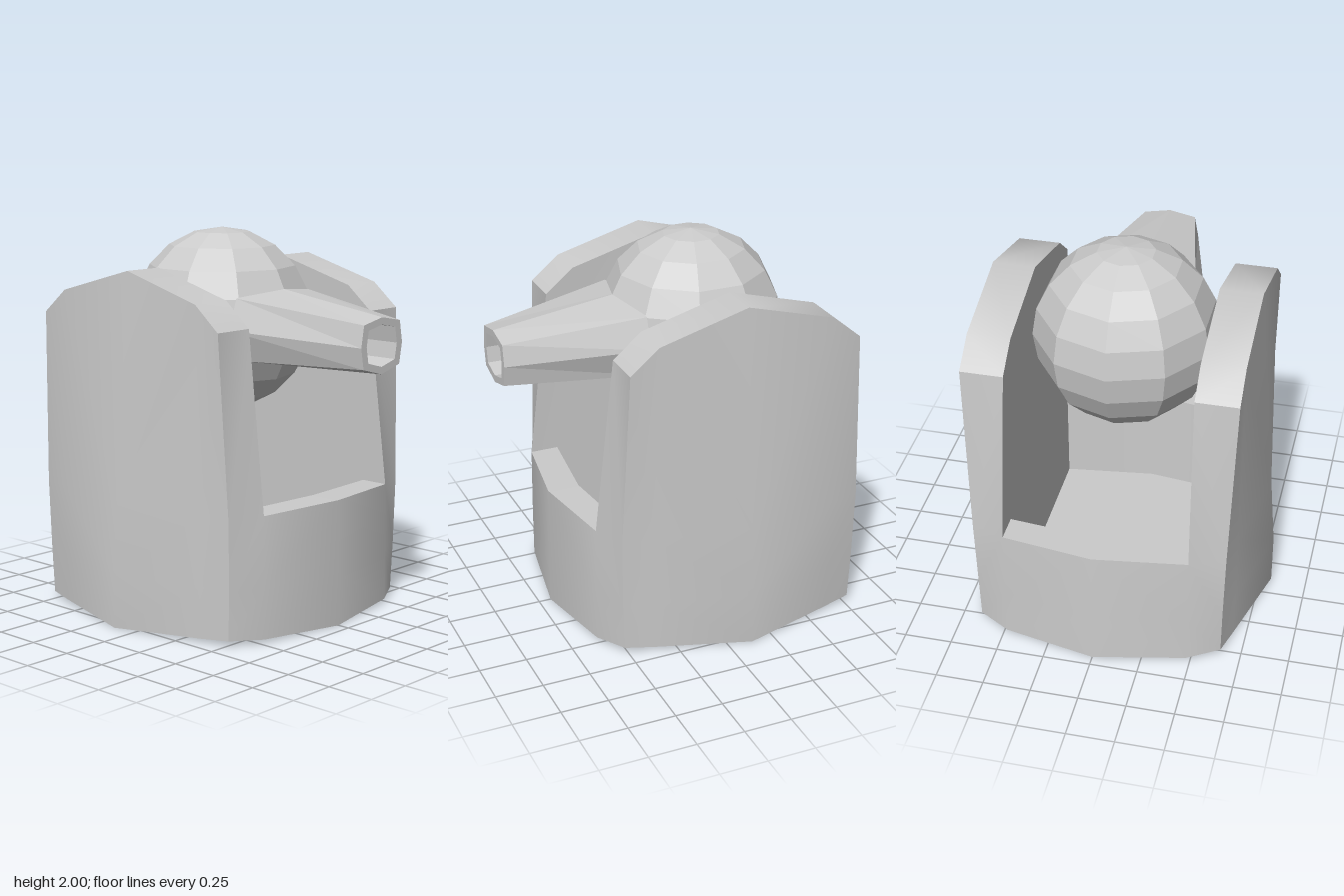
import * as THREE from 'three';
import { toCreasedNormals } from 'three/addons/utils/BufferGeometryUtils.js';

const CENTER_X = -0.13, BALL_Y = 1.517;

// Joins two polylines with quads; a runs left to right seen from outside, b lies above it
function strip(out, a, b) {
  for (let i = 0; i < a.length - 1; i++) {
    out.push([a[i], a[i + 1], b[i + 1]], [a[i], b[i + 1], b[i]]);
  }
}

// Fan around a centre point, counter-clockwise seen from outside
function fan(out, c, loop) {
  for (let i = 0; i < loop.length - 1; i++) out.push([c, loop[i], loop[i + 1]]);
}

function toGeometry(triangles) {
  const g = new THREE.BufferGeometry();
  g.setAttribute('position', new THREE.Float32BufferAttribute(triangles.flat(2), 3));
  g.computeVertexNormals();
  return g;
}

// Base with two upright arms: one quarter, mirrored in x and z
function mountGeometry() {
  const q = [];
  // Rows of the outer shell: front middle, shoulder, corner, bevel edge, side middle
  const foot = [[0, 0, 0.81], [0.49, 0.02, 0.685], [0.645, 0.03, 0.645], [0.735, 0.02, 0.48], [0.815, 0, 0]];
  const low = [[0, 0.28, 0.81], [0.49, 0.28, 0.69], [0.655, 0.28, 0.65], [0.735, 0.28, 0.48], [0.815, 0.28, 0]];
  const rim = [[0, 0.65, 0.78], [0.5, 0.65, 0.69], [0.66, 0.65, 0.66], [0.73, 0.65, 0.48], [0.808, 0.66, 0]];
  const crown = [[0, 1.82, 0.69], [0.47, 1.69, 0.69], [0.62, 1.565, 0.69]];
  const crownIn = crown.map(([x, y]) => [x, y, 0.47]);
  strip(q, foot, low);
  strip(q, low, rim);
  strip(q, rim.slice(0, 4), [...crown, crownIn[2]]);
  strip(q, crown, crownIn);

  // Inner face of the arm, side rim and the recess between the arms
  const pitY = 0.1;
  const rimIn = [[0.58, 0.65, 0.48], [0.64, 0.66, 0]];
  const mid = [0, 0.65, 0.48];
  const drop = (p) => [p[0], pitY, p[2]];
  strip(q, [rim[3], rimIn[0], mid], [...crownIn].reverse());
  strip(q, [drop(rimIn[0]), drop(mid)], [rimIn[0], mid]);
  strip(q, [rim[3], rim[4]], rimIn);
  strip(q, [drop(rimIn[1]), drop(rimIn[0])], [rimIn[1], rimIn[0]]);
  strip(q, [drop(mid), drop(rimIn[0])], [[0, pitY, 0], drop(rimIn[1])]);

  // Underside
  fan(q, [0, 0.015, 0], [...foot].reverse());

  const all = [];
  for (const sx of [1, -1]) for (const sz of [1, -1]) {
    for (const t of q) {
      const m = t.map(([x, y, z]) => [x * sx, y, z * sz]);
      all.push(sx * sz < 0 ? m.reverse() : m);
    }
  }
  return toCreasedNormals(toGeometry(all), 0.6);
}

// Closed eight-sided ring across the barrel at x, from the right half's heights and widths
function ring(x, half) {
  const other = half.slice(1, -1).reverse().map(([y, z]) => [y, -z]);
  const pts = [...half, ...other].map(([y, z]) => [x, y, z]);
  return [...pts, pts[0]];
}

function barrelGeometry() {
  const t = [];
  const root = [[1.715, 0], [1.675, 0.28], [1.517, 0.335], [1.36, 0.28], [1.325, 0]];
  const muzzle = [[1.617, 0], [1.59, 0.14], [1.48, 0.16], [1.372, 0.14], [1.335, 0]];
  const bore = muzzle.map(([y, z]) => [1.478 + (y - 1.478) * 0.74, z * 0.74]);
  const rings = [ring(0.23, root), ring(0.94, muzzle), ring(0.94, bore), ring(0.68, bore)];
  for (let i = 0; i < 3; i++) strip(t, rings[i], rings[i + 1]);
  fan(t, [0.68, 1.478, 0], rings[3]);
  return toGeometry(t);
}

export function createModel() {
  const model = new THREE.Group();
  model.name = 'ballTurret';
  const smooth = new THREE.MeshStandardMaterial({ color: 0xcccccc });
  const faceted = new THREE.MeshStandardMaterial({ color: 0xcccccc, flatShading: true });

  const add = (name, geometry, material) => {
    const mesh = new THREE.Mesh(geometry, material);
    mesh.name = name;
    model.add(mesh);
    return mesh;
  };

  add('mount', mountGeometry(), smooth).position.x = CENTER_X;

  // Ball held between the arms
  const ball = add('ball', new THREE.SphereGeometry(0.477, 10, 10), faceted);
  ball.scale.y = 0.483 / 0.477;
  ball.position.set(CENTER_X - 0.003, BALL_Y, 0);

  // Tapered hollow barrel pointing to the left
  add('barrel', barrelGeometry(), faceted);
  return model;
}
